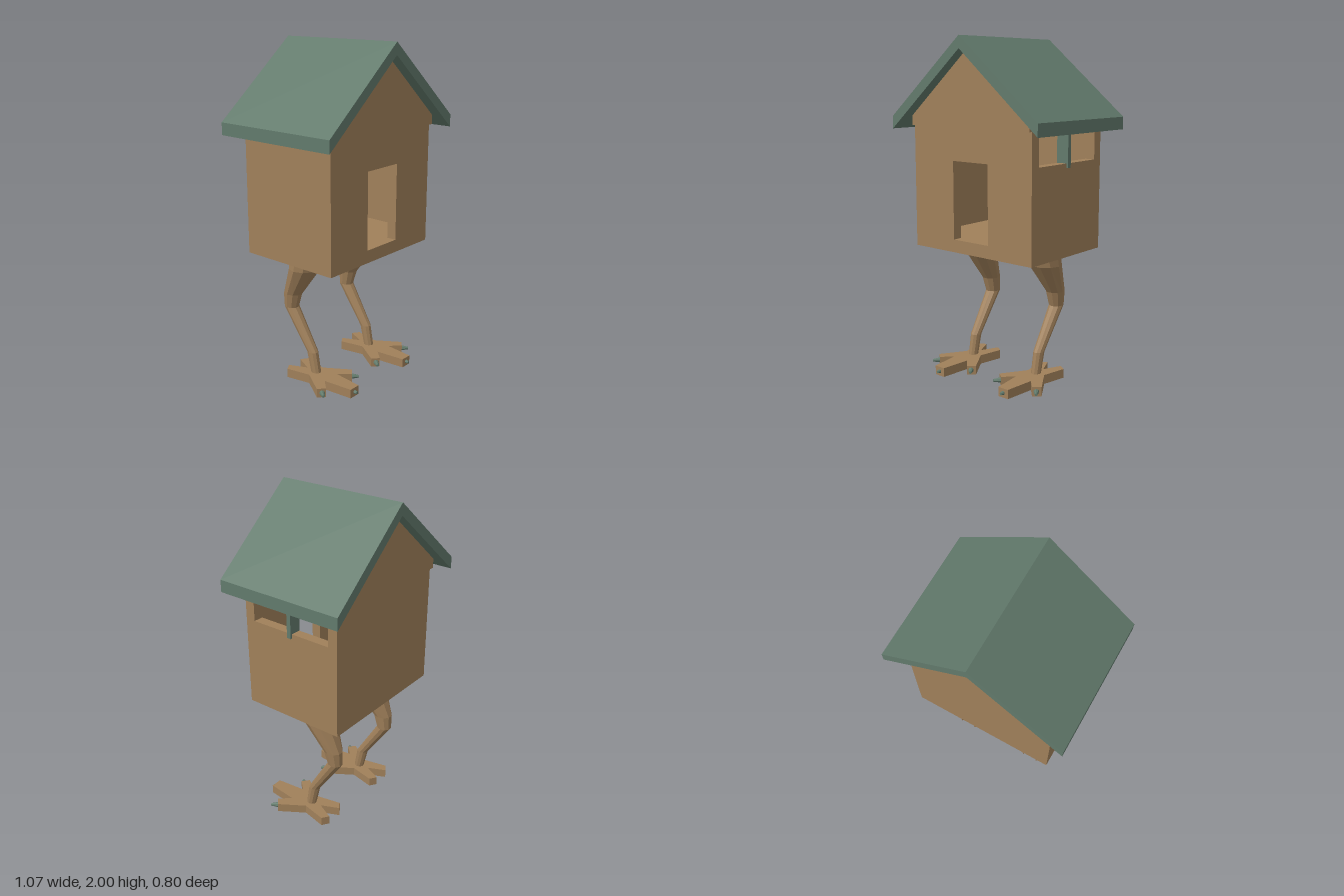
import * as THREE from 'three';

const wood = new THREE.MeshStandardMaterial({ color: 0xa0805a });
wood.name = 'brown wood';
const green = new THREE.MeshStandardMaterial({ color: 0x627a6c });
green.name = 'grey green';
wood.flatShading = green.flatShading = true;

function add(parent, name, geometry, material, x = 0, y = 0, z = 0) {
  const mesh = new THREE.Mesh(geometry, material);
  mesh.name = name;
  mesh.position.set(x, y, z);
  parent.add(mesh);
  return mesh;
}

const box = (w, h, d) => new THREE.BoxGeometry(w, h, d);

const outline = (points) => new THREE.Shape(points.map(([x, y]) => new THREE.Vector2(x, y)));

// Extrudes an x-y outline along z from z0 to z1
function slab(shape, z0, z1) {
  const g = new THREE.ExtrudeGeometry(shape, { depth: z1 - z0, bevelEnabled: false });
  return g.translate(0, 0, z0);
}

// Leg surface lofted through level rings: [y, z, x offset, x radius, z radius], top first
function legGeometry(rings, sign, sides = 10) {
  const point = ([y, z, dx, rx, rz], j) => {
    const a = (j / sides) * Math.PI * 2;
    return [sign * dx + Math.cos(a) * rx, y, z + Math.sin(a) * rz];
  };
  const pos = [];
  for (let i = 0; i < rings.length - 1; i++) {
    for (let j = 0; j < sides; j++) {
      const a = point(rings[i], j), b = point(rings[i], j + 1);
      const c = point(rings[i + 1], j), d = point(rings[i + 1], j + 1);
      pos.push(...a, ...b, ...c, ...b, ...d, ...c);
    }
  }
  const g = new THREE.BufferGeometry();
  g.setAttribute('position', new THREE.Float32BufferAttribute(pos, 3));
  g.computeVertexNormals();
  return g;
}

function createHouse() {
  const house = new THREE.Group();
  house.name = 'house';
  const W = 0.437, D = 0.32, T = 0.06, Y0 = 0.78, Y1 = 1.5, floorY = 0.855;

  add(house, 'floor', box(2 * (W - T), floorY - Y0, 2 * (D - T)), wood, 0, (Y0 + floorY) / 2, 0);

  // Front wall with doorway
  const front = outline([[-W, Y0], [W, Y0], [W, Y1], [-W, Y1]]);
  front.holes.push(outline([[-0.13, floorY], [-0.13, 1.31], [0.13, 1.31], [0.13, floorY]]));
  add(house, 'frontWall', slab(front, D - T, D), wood);
  add(house, 'backWall', box(2 * W, Y1 - Y0, T), wood, 0, (Y0 + Y1) / 2, -D + T / 2);

  // Plain right-hand wall, and the wall with a wide window open to the eaves
  const inner = D - T;
  add(house, 'plainSideWall', box(T, Y1 - Y0, 2 * inner), wood, -W + T / 2, (Y0 + Y1) / 2, 0);
  add(house, 'windowSideWall', box(T, 1.31 - Y0, 2 * inner), wood, W - T / 2, (Y0 + 1.31) / 2, 0);
  add(house, 'windowBar', box(0.075, 0.225, 0.026), green, 0.41, 1.3975, 0);

  // Gable ends, slightly proud of the walls
  const gable = outline([[-W, Y1], [W, Y1], [W, 1.555], [0, 1.928], [-W, 1.555]]);
  add(house, 'frontGable', slab(gable, D - T, D + 0.02), wood);
  add(house, 'backGable', slab(gable, -D - 0.02, -D + T), wood);

  // Pitched roof with vertical eave edges
  const roof = outline([[-0.537, 1.48], [0, 1.93], [0.537, 1.48], [0.537, 1.552], [0, 2], [-0.537, 1.552]]);
  add(house, 'roof', slab(roof, -0.402, 0.402), green);
  return house;
}

function createLeg(sign) {
  const leg = new THREE.Group();
  leg.name = sign > 0 ? 'leftLeg' : 'rightLeg';
  leg.position.x = sign * 0.25;

  add(leg, 'shank', legGeometry([
    [0.80, -0.028, -0.012, 0.113, 0.104],
    [0.78, -0.032, -0.012, 0.113, 0.102],
    [0.70, -0.048, 0, 0.1, 0.094],
    [0.52, -0.146, 0.004, 0.054, 0.06],
    [0.43, -0.16, 0.002, 0.043, 0.046],
    [0.18, 0.005, 0, 0.031, 0.036],
    [0.04, 0.035, 0, 0.028, 0.031],
  ], sign), wood);

  // Splayed foot: three front toes and two rear spurs, half outline mirrored
  const half = [[0.035, 0.333], [0.055, 0.15], [0.115, 0.215], [0.156, 0.18],
    [0.06, 0.03], [0.092, -0.12], [0.05, -0.149]];
  const mirrored = half.map(([x, z]) => [-x, z]).reverse();
  const foot = slab(outline([...half, [0, -0.04], ...mirrored]), 0, 0.055);
  foot.rotateX(Math.PI / 2).translate(0, 0.055, 0);
  add(leg, 'foot', foot, wood);

  // Claws at the three front toe tips
  for (const [x, z, turn] of [[0, 0.325, 0], [0.142, 0.212, 0.65], [-0.142, 0.212, -0.65]]) {
    const claw = new THREE.CylinderGeometry(0.008, 0.019, 0.055, 8);
    claw.rotateX(Math.PI / 2).rotateY(turn);
    add(leg, 'claw', claw, green, x, 0.028, z);
  }
  return leg;
}

export function createModel() {
  const model = new THREE.Group();
  model.name = 'houseOnBirdLegs';
  model.add(createHouse());
  for (const sign of [1, -1]) model.add(createLeg(sign));

  // Corner posts beside the window
  const house = model.getObjectByName('house');
  for (const sign of [1, -1]) {
    add(house, 'windowPost', box(0.06, 0.72, 0.06), wood, -0.407, 1.14, sign * 0.29).removeFromParent();
  }
  return model;
}
